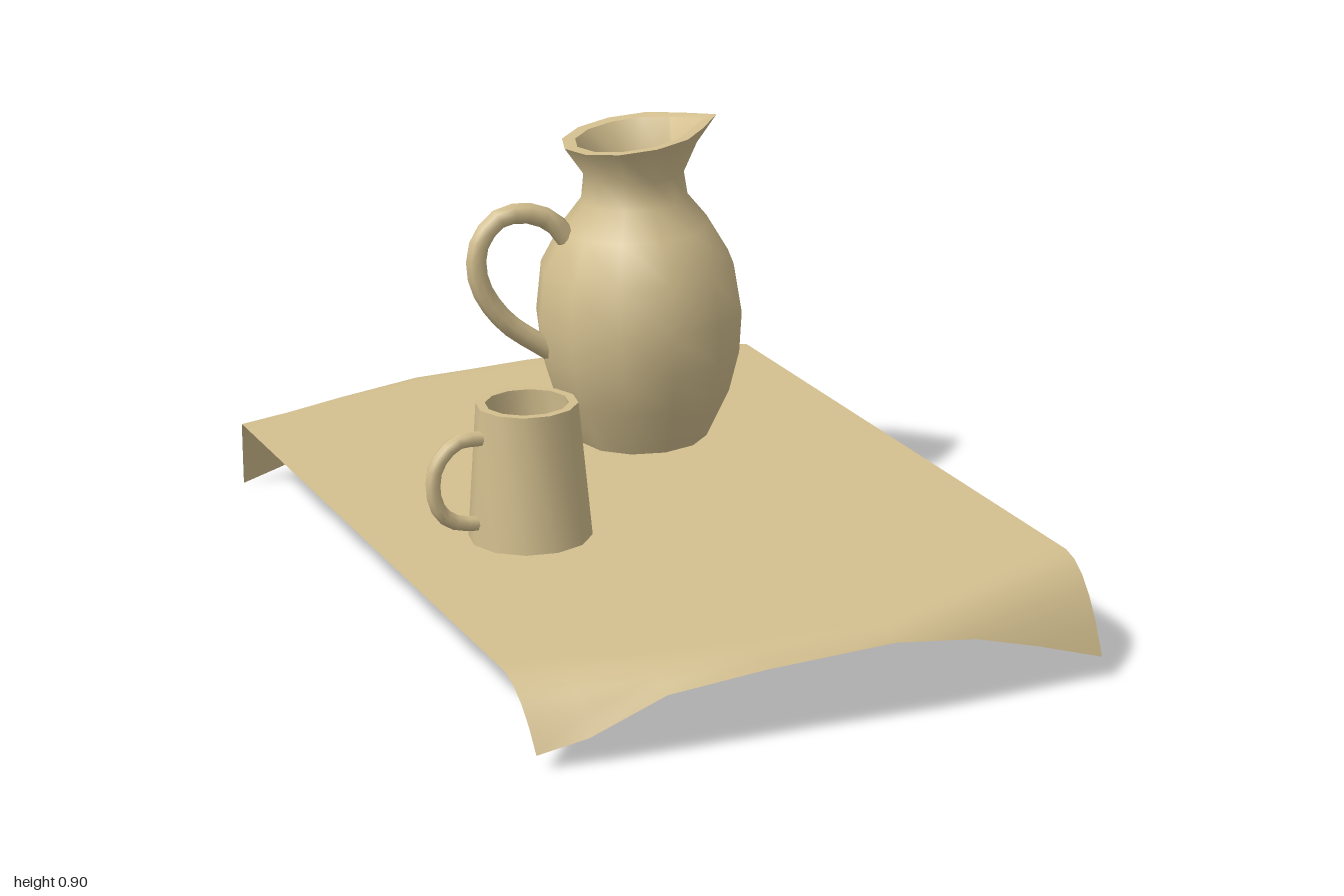
import * as THREE from 'three';
import { toCreasedNormals } from 'three/addons/utils/BufferGeometryUtils.js';

const TAN = 0xd2be8e;
const clay = new THREE.MeshStandardMaterial({ color: TAN });
const linen = new THREE.MeshStandardMaterial({ color: TAN, side: THREE.DoubleSide });

function part(name, geometry, material = clay) {
  const mesh = new THREE.Mesh(geometry, material);
  mesh.name = name;
  return mesh;
}

const lathe = (profile) =>
  new THREE.LatheGeometry(profile.map(([r, y]) => new THREE.Vector2(r, y)), 12);

function handle(name, points, radius, steps) {
  const path = new THREE.CatmullRomCurve3(points.map(([x, y]) => new THREE.Vector3(x, y, 0)));
  return part(name, new THREE.TubeGeometry(path, steps, radius, 8));
}

// Tilted sheet whose two short ends droop, most at the corners
function cloth() {
  // per column: x, front edge z and y, front fold z, back edge z and y, back fold z
  const columns = [
    [-0.62, 0.95, 0.03, 0.80, -0.86, 0.0, -0.80],
    [-0.50, 0.965, 0.055, 0.83, -0.885, 0.02, -0.83],
    [-0.35, 0.985, 0.125, 0.88, -0.955, 0.07, -0.87],
    [-0.15, 0.99, 0.147, 0.91, -1.0, 0.135, -0.91],
    [0.12, 1.0, 0.165, 0.92, -0.997, 0.13, -0.92],
    [0.30, 0.985, 0.14, 0.88, -0.995, 0.115, -0.90],
    [0.45, 0.965, 0.095, 0.82, -0.985, 0.08, -0.85],
    [0.62, 0.95, 0.045, 0.76, -0.92, 0.02, -0.79],
  ];
  const steps = 5, rows = 2 * steps + 4, n = columns.length;
  const positions = [], index = [];
  for (let i = 0; i < rows; i++) {
    for (const [x, fz, fy, ff, bz, by, bf] of columns) {
      const top = 0.183 + 0.036 * x;
      const front = i >= rows / 2;
      const k = front ? rows - 1 - i : i; // 0 at the hem, steps at the fold
      const [ez, ey, fold] = front ? [fz, fy, ff] : [bz, by, bf];
      const t = Math.max(0, 1 - k / steps);
      const bend = fold + (ez - fold) * 0.55;
      const z = k > steps ? fold * 0.93
        : fold * (1 - t) ** 2 + 2 * bend * t * (1 - t) + ez * t * t;
      const y = top + (ey - top) * t * t;
      const pull = Math.abs(x) > 0.6 ? 1 - 0.03 * t : 1;
      positions.push(x * pull, y, z);
    }
  }
  for (let i = 0; i < rows - 1; i++) {
    for (let j = 0; j < n - 1; j++) {
      const a = i * n + j, b = a + n;
      index.push(a, b, a + 1, b, b + 1, a + 1);
    }
  }
  const geo = new THREE.BufferGeometry();
  geo.setAttribute('position', new THREE.Float32BufferAttribute(positions, 3));
  geo.setIndex(index);
  geo.computeVertexNormals();
  return part('cloth', geo, linen);
}

// Round-bellied jug with a pinched spout on +x
function jug() {
  const group = new THREE.Group();
  group.name = 'jug';
  const geo = lathe([
    [0, 0], [0.14, 0], [0.195, 0.11], [0.22, 0.2], [0.228, 0.29], [0.213, 0.4],
    [0.165, 0.485], [0.118, 0.545], [0.11, 0.605], [0.155, 0.688],
    [0.126, 0.686], [0.09, 0.605], [0.095, 0.545], [0.145, 0.475],
    [0.19, 0.395], [0.205, 0.29], [0.175, 0.11], [0.12, 0.02], [0, 0.02],
  ]);
  const p = geo.attributes.position;
  for (let i = 0; i < p.count; i++) {
    const x = p.getX(i), y = p.getY(i), z = p.getZ(i);
    if (y < 0.65) continue;
    const nx = x > 0 && Math.abs(z) < 0.01 ? x + 0.04 : x;
    p.setXYZ(i, nx, y + 0.1 * nx, z);
  }
  group.add(part('jugBody', toCreasedNormals(geo, 0.95)));
  group.add(handle('jugHandle', [
    [-0.16, 0.475], [-0.19, 0.515], [-0.251, 0.542], [-0.311, 0.536],
    [-0.358, 0.482], [-0.361, 0.402], [-0.309, 0.31], [-0.205, 0.226],
  ], 0.023, 16));
  group.position.set(0.15, 0.183, -0.31);
  group.rotation.set(0, -0.05, 0.036);
  return group;
}

// Tapered mug
function mug() {
  const group = new THREE.Group();
  group.name = 'mug';
  const geo = lathe([
    [0, 0], [0.128, 0], [0.105, 0.285], [0.086, 0.285], [0.1, 0.02], [0, 0.02],
  ]);
  group.add(part('mugBody', toCreasedNormals(geo, 0.95)));
  group.add(handle('mugHandle', [
    [-0.103, 0.225], [-0.16, 0.225], [-0.205, 0.185], [-0.215, 0.13],
    [-0.2, 0.082], [-0.165, 0.055], [-0.115, 0.045],
  ], 0.016, 12));
  group.position.set(-0.31, 0.177, 0.182);
  group.rotation.set(0, 0.08, 0.02);
  return group;
}

export function createModel() {
  const model = new THREE.Group();
  model.name = 'stillLife';
  model.add(cloth(), jug(), mug());
  return model;
}
